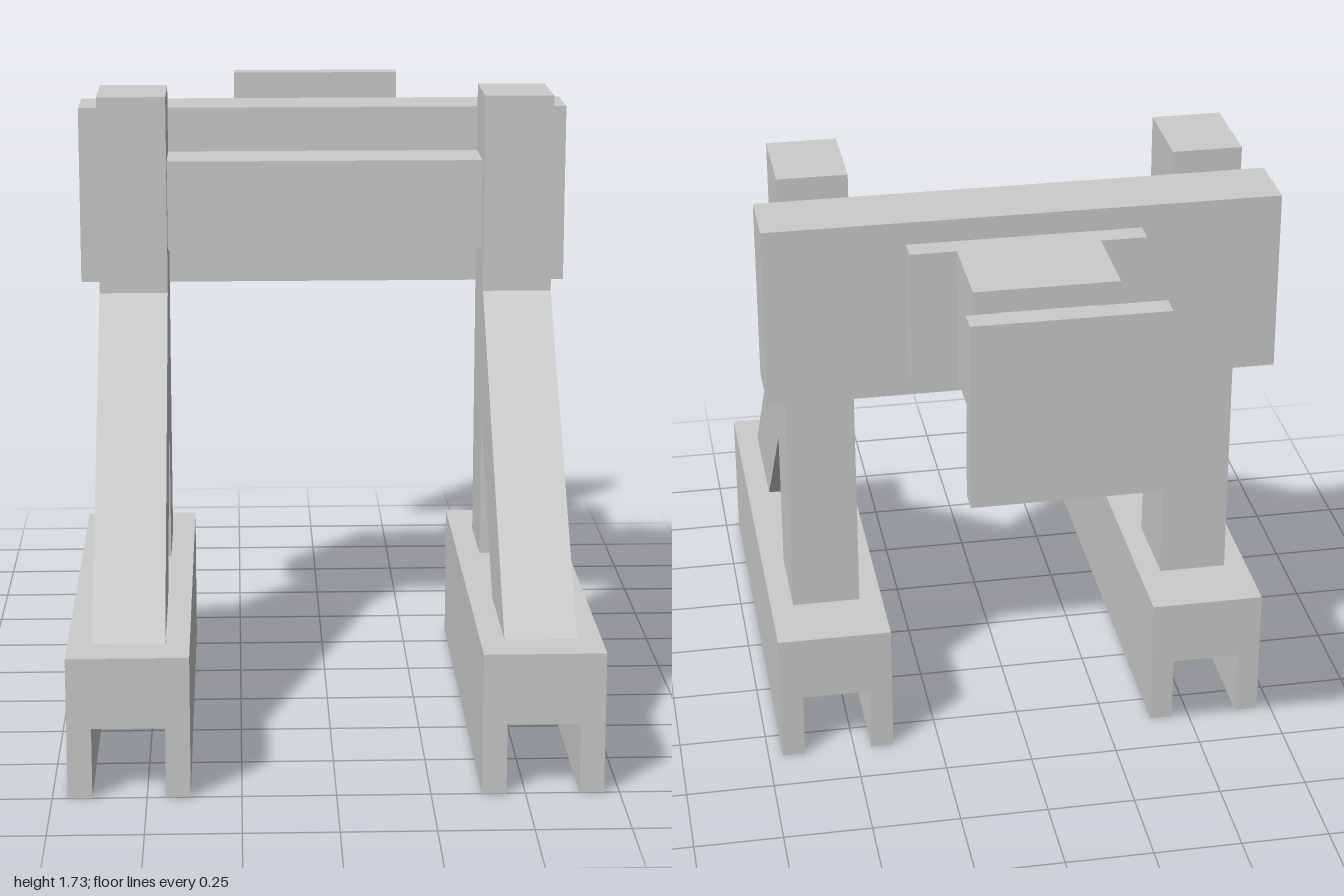
import * as THREE from 'three';

const material = new THREE.MeshStandardMaterial({ color: 0xcccccc, flatShading: true });

// Box given by its extents along each axis
function box(name, [x0, x1], [y0, y1], [z0, z1]) {
  const mesh = new THREE.Mesh(new THREE.BoxGeometry(x1 - x0, y1 - y0, z1 - z0), material);
  mesh.position.set((x0 + x1) / 2, (y0 + y1) / 2, (z0 + z1) / 2);
  mesh.name = name;
  return mesh;
}

function outline(points) {
  return new THREE.Shape(points.map(([a, b]) => new THREE.Vector2(a, b)));
}

function extrude(name, points, depth) {
  const geometry = new THREE.ExtrudeGeometry(outline(points), { depth, bevelEnabled: false });
  const mesh = new THREE.Mesh(geometry, material);
  mesh.name = name;
  return mesh;
}

// One supporting frame, centred on its own x = 0
function createFrame(name) {
  const frame = new THREE.Group();
  frame.name = name;
  const outer = 0.162, inner = 0.097;

  // Foot with a channel underneath that fits over a rail
  const foot = extrude('foot', [
    [-outer, 0], [-inner, 0], [-inner, 0.193], [inner, 0.193],
    [inner, 0], [outer, 0], [outer, 0.387], [-outer, 0.387],
  ], 1.355);
  foot.position.z = -0.355;

  const post = box('post', [-inner, inner], [0.387, 1.73], [-0.16, 0.097]);

  // Sloping brace, drawn in z and y then turned to run across x
  const brace = extrude('brace', [
    [0.88, 0.387], [0.097, 1.17], [0.097, 0.805], [0.515, 0.387],
  ], inner * 2);
  brace.rotation.y = -Math.PI / 2;
  brace.position.x = inner;

  frame.add(foot, post, brace);
  return frame;
}

export function createModel() {
  const model = new THREE.Group();
  model.name = 'bufferStop';

  for (const [name, side] of [['leftFrame', 1], ['rightFrame', -1]]) {
    const frame = createFrame(name);
    frame.position.x = side * 0.547;
    model.add(frame);
  }

  // Cross beams
  model.add(
    box('mainBeam', [-0.709, 0.709], [1.15, 1.664], [-0.355, -0.16]),
    box('innerBeam', [-0.45, 0.45], [1.279, 1.536], [-0.16, 0.027]),
  );

  // Bumper, stepping out to the back
  const bumper = new THREE.Group();
  bumper.name = 'bumper';
  bumper.add(
    box('mountingPlate', [-0.322, 0.322], [1.215, 1.6], [-0.42, -0.355]),
    box('housing', [-0.195, 0.195], [1.215, 1.6], [-0.676, -0.42]),
    box('plunger', [-0.13, 0.13], [1.279, 1.536], [-0.937, -0.676]),
    box('bumperHead', [-0.257, 0.257], [1.15, 1.664], [-1, -0.937]),
  );
  model.add(bumper);

  return model;
}
